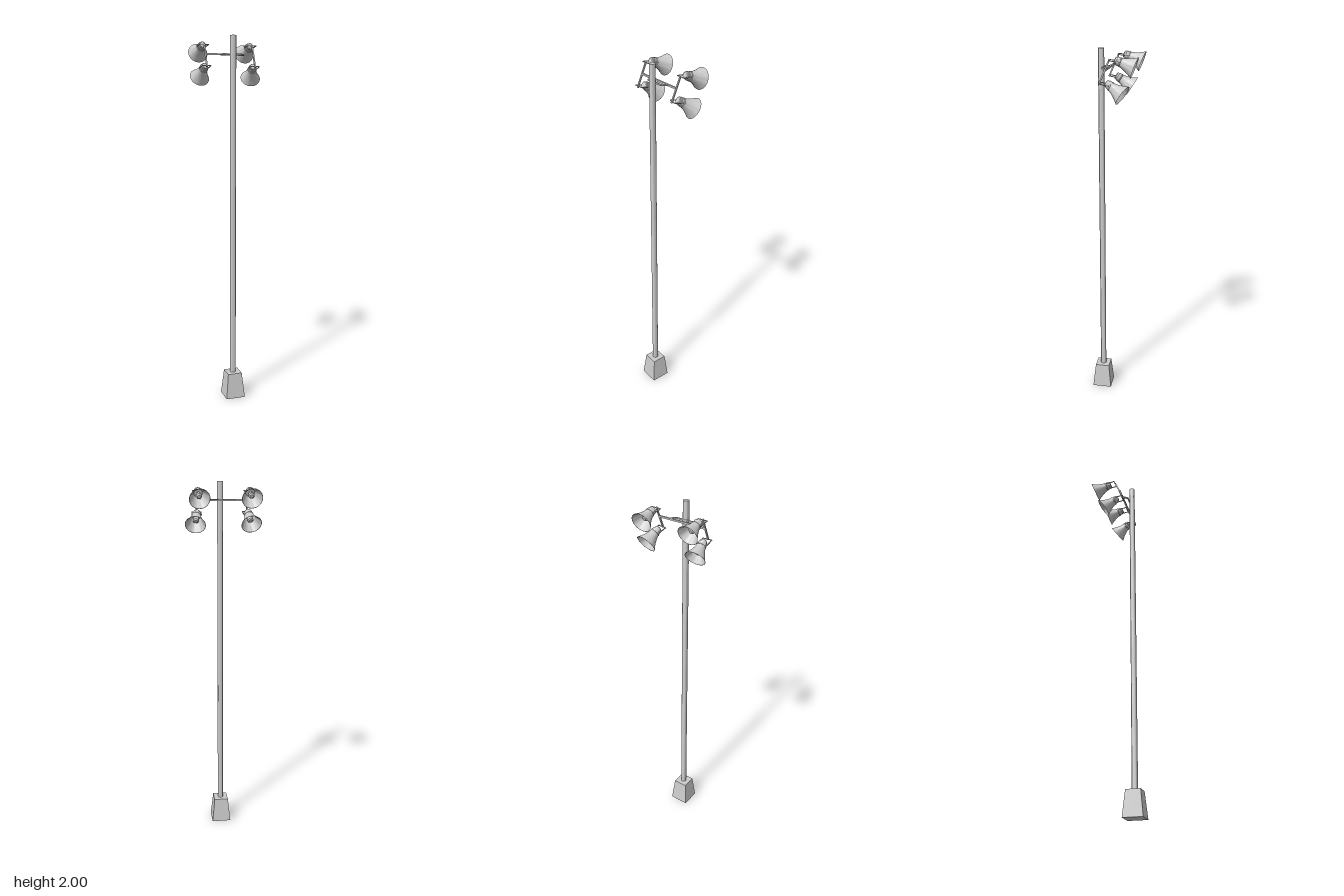
import * as THREE from 'three';
import { toCreasedNormals } from 'three/addons/utils/BufferGeometryUtils.js';

const grey = new THREE.MeshStandardMaterial({ color: 0xcccccc });
const greyOpen = new THREE.MeshStandardMaterial({ color: 0xcccccc, side: THREE.DoubleSide });
const V = (x, y, z) => new THREE.Vector3(x, y, z);

function add(parent, name, geometry, material = grey) {
  const mesh = new THREE.Mesh(geometry, material);
  mesh.name = name;
  parent.add(mesh);
  return mesh;
}

// Square bar or round rod running from a to b
function bar(parent, name, a, b, size, round = false) {
  const length = a.distanceTo(b);
  const geometry = round
    ? new THREE.CylinderGeometry(size / 2, size / 2, length, 10).rotateX(Math.PI / 2)
    : new THREE.BoxGeometry(size, size, length);
  const mesh = add(parent, name, geometry);
  mesh.position.copy(a).lerp(b, 0.5);
  mesh.lookAt(b);
  return mesh;
}

// Revolved part whose axis points along -z; profile is [radius, distance]
function turned(profile, segments = 36) {
  const points = profile.map(([r, d]) => new THREE.Vector2(r, d));
  return toCreasedNormals(new THREE.LatheGeometry(points, segments).rotateX(-Math.PI / 2), 0.5);
}

const shadeGeometry = turned([
  [0, 0], [0.014, 0], [0.018, 0.003], [0.018, 0.012], [0.022, 0.013], [0.022, 0.027],
  [0.0245, 0.028], [0.0245, 0.032], [0.0235, 0.033], [0.025, 0.042], [0.029, 0.055],
  [0.036, 0.072], [0.044, 0.088], [0.05, 0.098], [0.054, 0.105],
  [0.0525, 0.105], [0.0485, 0.098], [0.0345, 0.072], [0.0275, 0.055], [0.022, 0.036], [0, 0.036],
]);
const bulbGeometry = turned([
  [0.009, 0.034], [0.009, 0.044], [0.014, 0.054], [0.0165, 0.064], [0.015, 0.073], [0.009, 0.079], [0, 0.081],
], 20);

// Spotlight with its U-shaped bracket; mount is the middle of the bracket's back bar
function lamp(parent, name, position, mount, pitch, yaw) {
  const group = new THREE.Group();
  group.name = name;
  parent.add(group);

  const head = new THREE.Group();
  head.name = 'lampHead';
  head.position.copy(position);
  head.rotation.set(-pitch, yaw, 0, 'YXZ');
  group.add(head);
  add(head, 'shade', shadeGeometry, greyOpen);
  add(head, 'bulb', bulbGeometry, greyOpen);

  const pivot = V(0, 0, -0.022).applyEuler(head.rotation).add(position);
  const side = V(0.0245, 0, 0).applyEuler(head.rotation);
  const at = (point, s) => point.clone().addScaledVector(side, s);
  bar(group, 'bracketBack', at(mount, -1), at(mount, 1), 0.004);
  for (const s of [-1, 1]) {
    bar(group, 'bracketArm', at(mount, s), at(pivot, s), 0.004);
    bar(group, 'pivotPin', at(pivot, s * 0.8), at(pivot, s * 1.1), 0.007, true);
  }
}

export function createModel() {
  const model = new THREE.Group();
  model.name = 'floodlightPole';
  const poleZ = 0.079;

  // Tapered foot and round pole
  const foot = new THREE.CylinderGeometry(0.04 * Math.SQRT2, 0.054 * Math.SQRT2, 0.14, 4, 1)
    .rotateY(Math.PI / 4).toNonIndexed();
  foot.computeVertexNormals();
  add(model, 'foot', foot).position.set(0, 0.07, poleZ);
  const pole = toCreasedNormals(new THREE.CylinderGeometry(0.016, 0.016, 1.86, 32), 0.6);
  add(model, 'pole', pole).position.set(0, 1.07, poleZ);

  // Crossbar with the bent brace that holds it to the pole
  const y = 1.904;
  bar(model, 'crossbar', V(-0.14, y, 0.037), V(0.13, y, 0.037), 0.009);
  bar(model, 'braceMiddle', V(-0.049, y, 0.066), V(0.049, y, 0.066), 0.007);
  for (const s of [-1, 1])
    bar(model, 'braceEnd', V(s * 0.048, y, 0.067), V(s * 0.072, y, 0.038), 0.007);

  // Leaning carrier at each end, with an upper and a lower lamp
  const ends = [
    { side: 'right', x: -0.14, upperYaw: 0, lowerYaw: 0.08 },
    { side: 'left', x: 0.129, upperYaw: 0.02, lowerYaw: -0.19 },
  ];
  for (const { side, x, upperYaw, lowerYaw } of ends) {
    bar(model, side + 'Carrier', V(x, 1.838, 0.065), V(x, 1.958, 0.012), 0.0075);
    lamp(model, side + 'UpperLamp', V(x, 1.957, -0.015), V(x, 1.955, 0.012), 0.36, upperYaw);
    lamp(model, side + 'LowerLamp', V(x, 1.846, 0.028), V(x, 1.843, 0.058), 0.59, lowerYaw);
  }
  return model;
}
